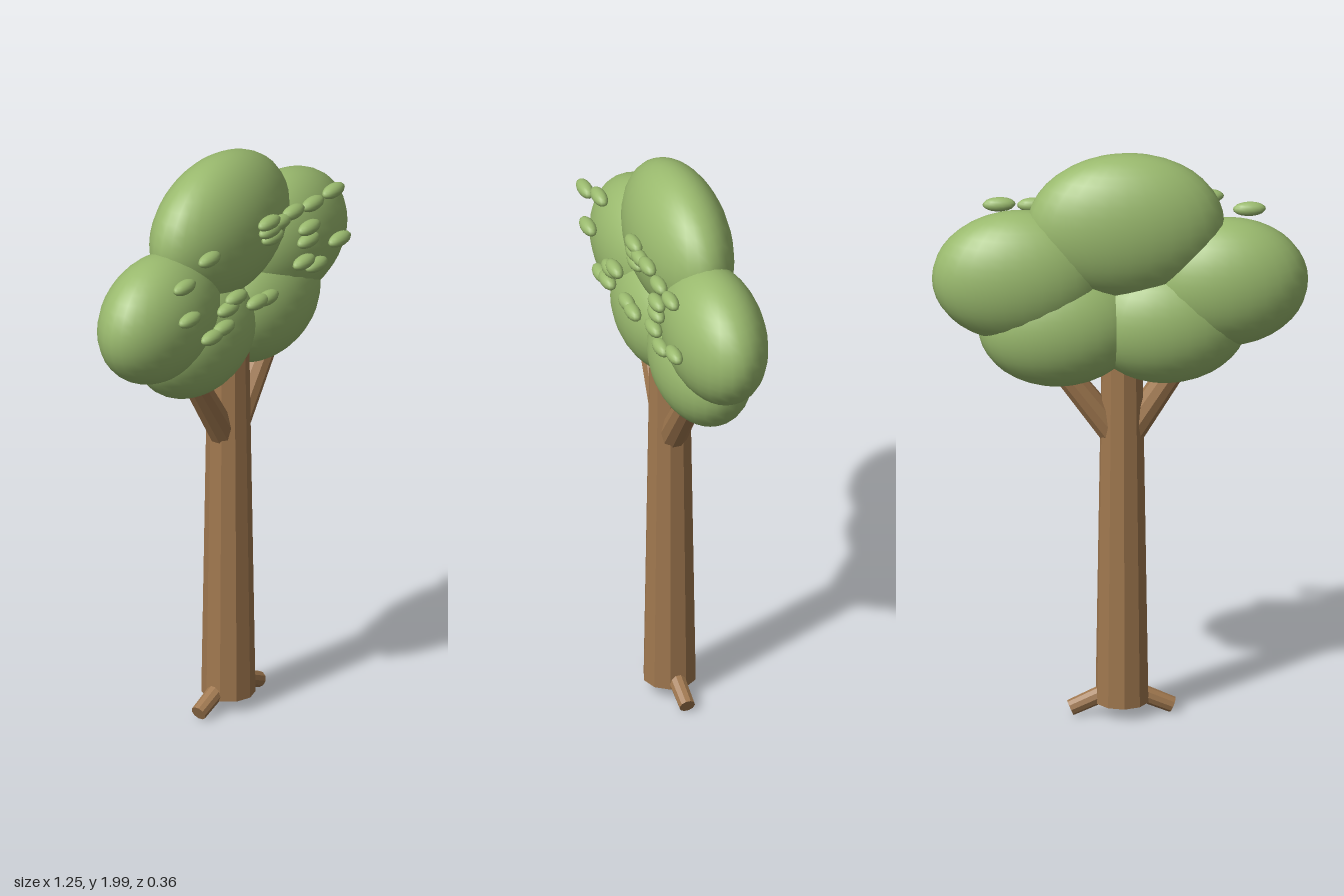
import * as THREE from 'three';

export function createModel() {
  const tree = new THREE.Group();
  tree.name = 'tree';
  const bark = new THREE.MeshStandardMaterial({ color: 0xa0784f });
  bark.name = 'bark brown';
  bark.flatShading = true;
  const foliage = new THREE.MeshStandardMaterial({ color: 0x9aba6e });
  foliage.name = 'leaf green';

  function add(name, geometry, material) {
    const mesh = new THREE.Mesh(geometry, material);
    mesh.name = name;
    tree.add(mesh);
    return mesh;
  }

  // Tapered limb running from a to b
  function limb(name, a, b, ra, rb, sides) {
    const from = new THREE.Vector3(...a), to = new THREE.Vector3(...b);
    const dir = to.clone().sub(from);
    const mesh = add(name, new THREE.CylinderGeometry(rb, ra, dir.length(), sides), bark);
    mesh.position.copy(from).addScaledVector(dir, 0.5);
    mesh.quaternion.setFromUnitVectors(new THREE.Vector3(0, 1, 0), dir.normalize());
  }

  function ellipsoid(name, [x, y, z], [rx, ry, rz], w, h) {
    const mesh = add(name, new THREE.SphereGeometry(1, w, h), foliage);
    mesh.position.set(x, y, z);
    mesh.scale.set(rx, ry, rz);
  }

  // Trunk, branches and roots
  const z = 0.013;
  limb('trunk', [-0.012, 0.055, z], [-0.012, 1.4, z], 0.09, 0.068, 10);
  limb('rightBranch', [-0.04, 1.01, z], [-0.24, 1.31, z], 0.05, 0.04, 10);
  limb('leftBranch', [0.016, 1.01, z], [0.24, 1.31, z], 0.05, 0.04, 10);
  limb('rightRoot', [-0.05, 0.092, z], [-0.18, 0.035, z], 0.03, 0.027, 10);
  limb('leftRoot', [0.03, 0.092, z], [0.16, 0.035, z], 0.03, 0.027, 10);

  // Flattened crown lobes: x, y, rx, ry
  const lobes = {
    topLobe: [-0.02, 1.75, 0.33, 0.25],
    rightLobe: [-0.36, 1.54, 0.27, 0.22],
    leftLobe: [0.335, 1.585, 0.29, 0.225],
    lowerRightLobe: [-0.16, 1.405, 0.27, 0.21],
    lowerLeftLobe: [0.2, 1.405, 0.27, 0.21],
  };
  for (const [name, [x, y, rx, ry]] of Object.entries(lobes)) {
    ellipsoid(name, [x, y, -0.018], [rx, ry, 0.161], 28, 20);
  }

  // Small leaves floating before the crown: x, y
  const leaves = [
    [-0.31, 1.78], [-0.45, 1.73], [-0.42, 1.6], [0.025, 1.79], [0.03, 1.76], [0.045, 1.73],
    [0.085, 1.77], [0.16, 1.78], [0.27, 1.77], [0.385, 1.775], [0.25, 1.69], [0.245, 1.645],
    [0.42, 1.585], [0.22, 1.575], [0.29, 1.54], [0.015, 1.52], [-0.04, 1.525], [-0.16, 1.585],
    [-0.205, 1.56], [-0.23, 1.5], [-0.295, 1.49],
  ];
  for (const [x, y] of leaves) ellipsoid('leaf', [x, y, 0.154], [0.055, 0.024, 0.025], 14, 10);

  return tree;
}
